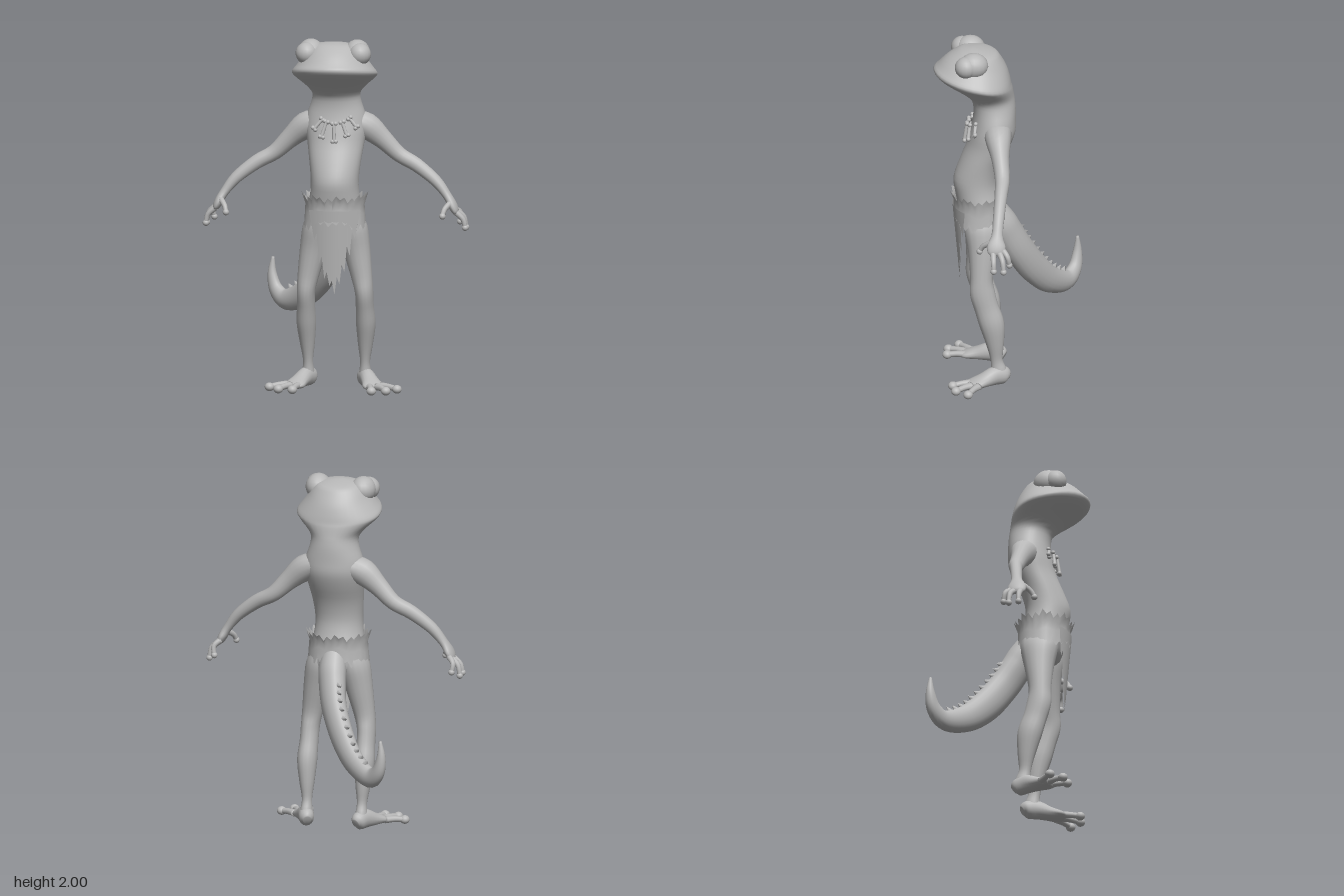
import * as THREE from 'three';

const skin = new THREE.MeshStandardMaterial({ color: 0xb8b8b8 });
skin.name = 'grey';
const cloth = skin.clone();
cloth.name = 'grey cloth';
cloth.side = THREE.DoubleSide;

const V = (x, y, z) => new THREE.Vector3(x, y, z);

// Smoothly interpolate rows of numbers
function smooth(rows, steps) {
  const out = [];
  for (let i = 0; i < rows.length - 1; i++) {
    const [a, b, c, d] = [-1, 0, 1, 2].map(k => rows[Math.min(rows.length - 1, Math.max(0, i + k))]);
    for (let s = 0; s < steps; s++) {
      const t = s / steps;
      out.push(b.map((v, k) => v + 0.5 * t * (c[k] - a[k] + t * (2 * a[k] - 5 * v + 4 * c[k] - d[k]
        + t * (3 * (v - c[k]) + d[k] - a[k])))));
    }
  }
  out.push(rows[rows.length - 1]);
  return out;
}

// Skin a list of closed rings, with closed ends
function skinRings(rings) {
  const n = rings[0].length, pos = [], idx = [];
  rings.forEach(r => r.forEach(p => pos.push(p.x, p.y, p.z)));
  for (let i = 0; i < rings.length - 1; i++) {
    for (let j = 0; j < n; j++) {
      const a = i * n + j, b = i * n + (j + 1) % n;
      idx.push(a, b, b + n, a, b + n, a + n);
    }
  }
  [0, rings.length - 1].forEach(e => {
    const c = rings[e].reduce((s, p) => s.add(p), V(0, 0, 0)).divideScalar(n);
    const m = pos.length / 3;
    pos.push(c.x, c.y, c.z);
    for (let j = 0; j < n; j++) {
      const a = e * n + j, b = e * n + (j + 1) % n;
      if (e) idx.push(a, b, m); else idx.push(b, a, m);
    }
  });
  const g = new THREE.BufferGeometry();
  g.setAttribute('position', new THREE.Float32BufferAttribute(pos, 3));
  g.setIndex(idx);
  g.computeVertexNormals();
  return g;
}

// Limb along points [x, y, z, radius across, radius along ref]
function limb(points, ref = V(0, 0, 1), sides = 16, steps = 4) {
  const rows = smooth(points, steps);
  return skinRings(rows.map((r, i) => {
    const p = rows[Math.max(0, i - 1)], q = rows[Math.min(rows.length - 1, i + 1)];
    const t = V(q[0] - p[0], q[1] - p[1], q[2] - p[2]).normalize();
    const u = ref.clone().cross(t).normalize(), v = t.clone().cross(u);
    return Array.from({ length: sides }, (_, j) => {
      const a = j / sides * Math.PI * 2;
      return V(r[0], r[1], r[2]).addScaledVector(u, r[3] * Math.cos(a)).addScaledVector(v, r[4] * Math.sin(a));
    });
  }));
}

// Cloth strip between a top and a bottom edge of equal length
function drape(columns, rows, at) {
  const g = new THREE.PlaneGeometry(1, 1, columns, rows), p = g.attributes.position;
  for (let i = 0; i < p.count; i++) {
    const q = at(i % (columns + 1), Math.floor(i / (columns + 1)) / rows);
    p.setXYZ(i, q.x, q.y, q.z);
  }
  g.computeVertexNormals();
  return g;
}

export function createModel() {
  const model = new THREE.Group();
  const add = (name, geo, mat = skin, parent = model) => {
    const m = new THREE.Mesh(geo, mat);
    m.name = name;
    parent.add(m);
    return m;
  };
  const ball = (name, r, x, y, z, sx = 1, sy = 1, sz = 1, parent = model) => {
    const m = add(name, new THREE.SphereGeometry(r, 18, 12), skin, parent);
    m.position.set(x, y, z);
    m.scale.set(sx, sy, sz);
    return m;
  };

  // Torso, neck and head: back y, front y, half width, back z, front z, widest z
  const body = smooth([
    [0.84, 0.86, 0.05, 0.1, 0.2, 0.15], [0.91, 0.91, 0.14, 0.04, 0.26, 0.15],
    [1.02, 1.02, 0.153, 0.035, 0.29, 0.16], [1.12, 1.12, 0.138, 0.06, 0.31, 0.18],
    [1.2, 1.2, 0.135, 0.068, 0.318, 0.18], [1.3, 1.3, 0.145, 0.045, 0.285, 0.16],
    [1.4, 1.4, 0.16, 0, 0.245, 0.12], [1.48, 1.48, 0.172, -0.028, 0.225, 0.1],
    [1.55, 1.55, 0.165, -0.03, 0.21, 0.09], [1.62, 1.62, 0.142, -0.03, 0.207, 0.09],
    [1.67, 1.68, 0.135, -0.025, 0.225, 0.1], [1.7, 1.745, 0.165, -0.02, 0.3, 0.14],
    [1.745, 1.815, 0.222, -0.012, 0.4, 0.17], [1.77, 1.855, 0.24, -0.005, 0.43, 0.18],
    [1.81, 1.885, 0.215, 0.003, 0.405, 0.18], [1.865, 1.93, 0.175, 0.02, 0.36, 0.18],
    [1.92, 1.962, 0.145, 0.05, 0.31, 0.18], [1.955, 1.978, 0.11, 0.08, 0.27, 0.18],
    [1.975, 1.985, 0.03, 0.15, 0.21, 0.18],
  ], 3);
  add('bodyAndHead', skinRings(body.map(([yb, yf, w, zb, zf, c]) =>
    Array.from({ length: 36 }, (_, j) => {
      const a = j / 36 * Math.PI * 2, k = Math.cos(a);
      const z = c + k * (k > 0 ? zf - c : c - zb);
      return V(w * Math.sin(a), yb + (yf - yb) * (z - zb) / (zf - zb), z);
    }))));

  for (const s of [1, -1]) {
    const side = s > 0 ? 'left' : 'right';

    // Eye and brow
    ball(side + 'Eye', 0.062, s * 0.15, 1.925, 0.26);
    ball(side + 'Brow', 0.072, s * 0.13, 1.926, 0.215, 1, 1.02, 1.15);

    // Arm
    add(side + 'Arm', limb([
      [s * 0.08, 1.52, 0.08, 0.06, 0.08], [s * 0.17, 1.485, 0.08, 0.075, 0.072],
      [s * 0.26, 1.41, 0.075, 0.056, 0.05], [s * 0.35, 1.325, 0.07, 0.044, 0.042],
      [s * 0.45, 1.27, 0.085, 0.04, 0.036], [s * 0.56, 1.185, 0.105, 0.033, 0.032],
      [s * 0.625, 1.105, 0.118, 0.025, 0.032], [s * 0.655, 1.055, 0.125, 0.025, 0.052],
      [s * 0.672, 1.02, 0.125, 0.02, 0.048], [s * 0.68, 1.005, 0.125, 0.008, 0.03],
    ]));

    // Fingers and thumb, each bent once
    [[0.665, 1.03, 0.09, 0.695, 1.0, 0.065, 0.69, 0.95, 0.055],
      [0.672, 1.02, 0.11, 0.715, 0.985, 0.095, 0.728, 0.925, 0.09],
      [0.67, 1.02, 0.145, 0.715, 0.98, 0.145, 0.728, 0.93, 0.145],
      [0.645, 1.07, 0.15, 0.618, 1.04, 0.195, 0.608, 1.005, 0.215],
    ].forEach((f, i) => {
      add(side + (i < 3 ? 'Finger' : 'Thumb'), limb([
        [s * f[0], f[1], f[2], 0.017, 0.018], [s * f[3], f[4], f[5], 0.015, 0.015],
        [s * f[6], f[7], f[8], 0.013, 0.013]], V(0, 0, 1), 10));
      ball(side + 'Fingertip', 0.018, s * f[6], f[7], f[8]);
    });

    // Leg
    add(side + 'Leg', limb([
      [s * 0.085, 1.0, 0.16, 0.06, 0.1], [s * 0.1, 0.92, 0.16, 0.082, 0.105],
      [s * 0.122, 0.8, 0.163, 0.076, 0.083], [s * 0.15, 0.65, 0.172, 0.06, 0.064],
      [s * 0.163, 0.56, 0.168, 0.052, 0.07], [s * 0.165, 0.47, 0.145, 0.051, 0.068],
      [s * 0.167, 0.37, 0.115, 0.055, 0.07], [s * 0.163, 0.25, 0.097, 0.042, 0.05],
      [s * 0.16, 0.15, 0.088, 0.028, 0.034], [s * 0.16, 0.08, 0.075, 0.035, 0.045],
      [s * 0.16, 0.03, 0.075, 0.03, 0.04],
    ]));

    // Foot and toes
    add(side + 'Foot', limb([
      [s * 0.14, 0.045, 0.022, 0.022, 0.025], [s * 0.15, 0.055, 0.045, 0.042, 0.05],
      [s * 0.172, 0.06, 0.1, 0.044, 0.054], [s * 0.2, 0.045, 0.165, 0.052, 0.038],
      [s * 0.222, 0.034, 0.22, 0.062, 0.024], [s * 0.235, 0.03, 0.25, 0.045, 0.015],
    ], V(0, 1, 0)));
    [[0.262, 0.2, 0.358, 0.262], [0.245, 0.235, 0.302, 0.326], [0.2, 0.23, 0.222, 0.338]].forEach(t => {
      add(side + 'Toe', limb([
        [s * t[0], 0.034, t[1], 0.026, 0.02], [s * (t[0] + t[2]) / 2, 0.034, (t[1] + t[3]) / 2, 0.017, 0.017],
        [s * t[2], 0.027, t[3], 0.018, 0.016]], V(0, 1, 0), 10));
      ball(side + 'ToePad', 0.027, s * t[2], 0.027, t[3], 1, 0.9, 1);
    });
  }

  // Tail, swinging back to one side and curling up
  const tailSide = V(0.7, 0, -0.7).normalize();
  const tail = [
    [0, 1.03, 0.1, 0.06, 0.06], [0, 0.93, 0.05, 0.085, 0.075], [-0.01, 0.85, 0.01, 0.09, 0.072],
    [-0.04, 0.73, -0.055, 0.09, 0.065], [-0.11, 0.59, -0.14, 0.088, 0.06],
    [-0.205, 0.475, -0.235, 0.076, 0.052], [-0.325, 0.415, -0.335, 0.06, 0.043],
    [-0.39, 0.46, -0.388, 0.045, 0.036], [-0.415, 0.55, -0.405, 0.027, 0.025],
    [-0.41, 0.645, -0.405, 0.008, 0.008],
  ];
  add('tail', limb(tail, tailSide, 18, 5));

  // Small crest bumps along the top of the tail
  const rows = smooth(tail, 3);
  for (let i = 7; i < 18; i++) {
    const r = rows[i], p = rows[i - 1], q = rows[i + 1];
    const t = V(q[0] - p[0], q[1] - p[1], q[2] - p[2]).normalize();
    const up = tailSide.clone().cross(t).normalize();
    const c = add('tailCrest', new THREE.ConeGeometry(0.024, 0.045, 6));
    c.position.set(r[0], r[1], r[2]).addScaledVector(up, r[3] + 0.004);
    c.quaternion.setFromUnitVectors(V(0, 1, 0), up.addScaledVector(t, 0.5).normalize());
  }

  // Ragged waistband
  const n = 48;
  const jag = i => [0, 0.035, 0.01, 0.025, -0.01, 0.02][i % 6];
  add('waistband', drape(n, 4, (i, v) => {
    const a = i / n * Math.PI * 2, k = Math.cos(a), e = i % n;
    const hip = Math.abs(Math.sin(a));
    const top = 1.095 + jag(e), bottom = 0.985 - 0.05 * hip * hip - jag(e + 2);
    const flare = v === 0 ? 0.012 + 0.5 * Math.max(0, jag(e)) : v === 1 ? 0.006 : 0.004;
    const w = 0.158 + 0.012 * v + flare;
    return V(w * Math.sin(a), top + (bottom - top) * v, 0.17 + k * ((k > 0 ? 0.143 : 0.14) + flare));
  }), cloth);

  // Ragged front flap
  const hem = [0.95, 0.87, 0.91, 0.74, 0.78, 0.65, 0.69, 0.61, 0.64, 0.56, 0.66, 0.62, 0.73, 0.69, 0.84, 0.78, 0.93, 0.88, 0.96];
  add('frontFlap', drape(hem.length - 1, 6, (i, v) => {
    const x = (-0.135 + 0.29 * i / (hem.length - 1)) * (1 - 0.12 * v);
    const y = 1.04 + (hem[i] - 1.04) * v;
    return V(x, y, 0.324 - 2.4 * x * x - 0.09 * (1.04 - y));
  }), cloth);

  // Necklace of small bones: x, y, z, length, tilt
  [[-0.09, 1.515, 0.212, 0.07, -0.7], [-0.055, 1.49, 0.236, 0.09, -0.3], [0.003, 1.475, 0.25, 0.1, 0.03],
    [0.06, 1.495, 0.236, 0.08, 0.35], [0.105, 1.525, 0.205, 0.065, 0.7]].forEach(([x, y, z, len, tilt]) => {
    const bone = new THREE.Group();
    bone.name = 'necklaceBone';
    add('boneShaft', new THREE.CylinderGeometry(0.009, 0.011, len, 10), skin, bone);
    for (const e of [1, -1]) {
      for (const s of [1, -1]) ball('boneKnob', 0.012, s * 0.009, e * len / 2, 0, 1, 1, 1, bone);
    }
    bone.position.set(x, y, z);
    bone.rotation.set(-0.15, 0, tilt);
    model.add(bone);
  });

  return model;
}
